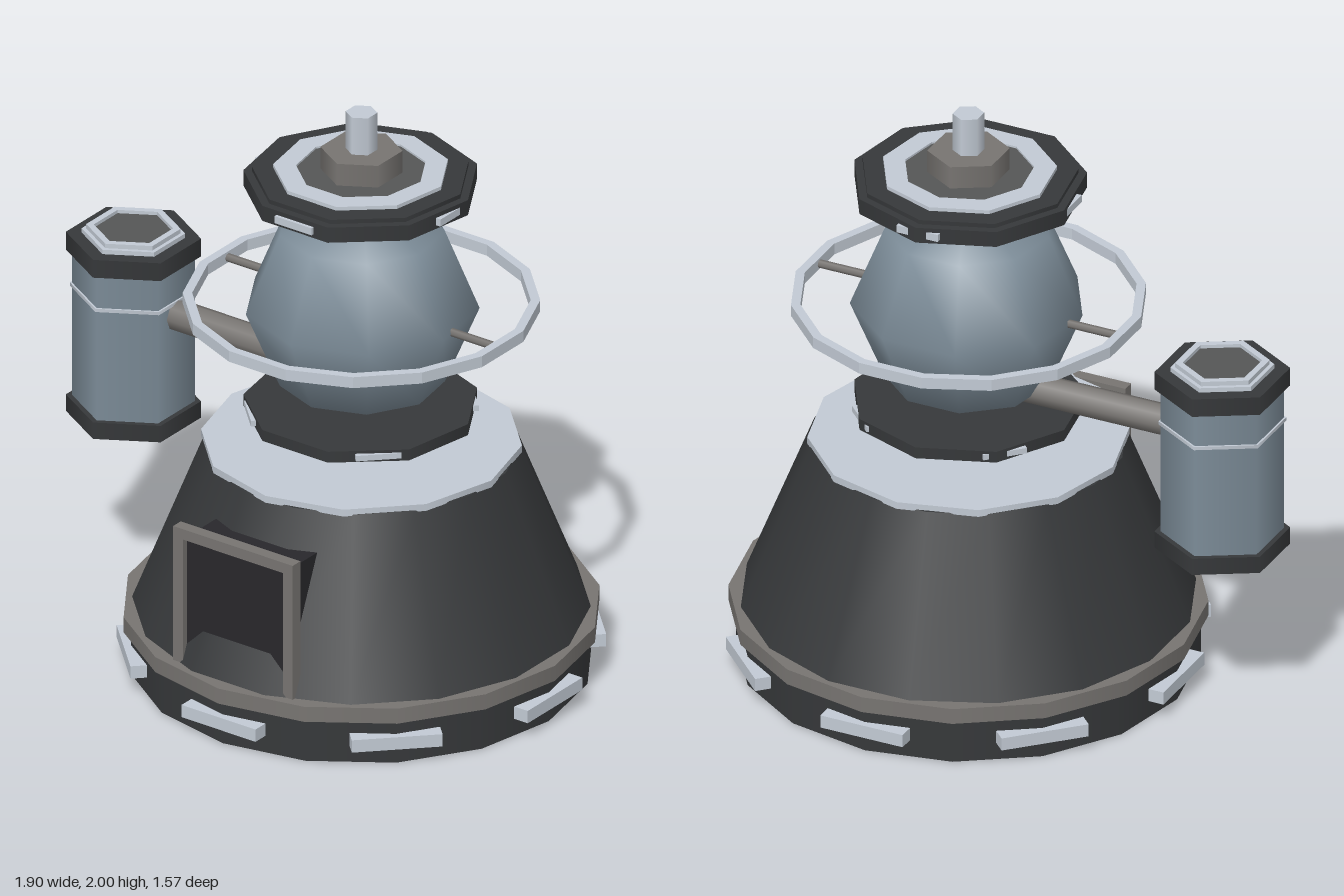
import * as THREE from 'three';

const mat = (color, side = THREE.FrontSide) => new THREE.MeshStandardMaterial({ color, side });
const DARK = mat(0x36383a), GREY = mat(0x777471), LIGHT = mat(0xc2cad4),
  STEEL = mat(0x7c8c98), MID = mat(0x555656), SHADOW = mat(0x28272b);

export function createModel() {
  const root = new THREE.Group();
  const tower = new THREE.Group();
  tower.name = 'tower';
  tower.position.x = 0.16;
  const pod = new THREE.Group();
  pod.name = 'sidePod';
  pod.position.x = -0.765;
  root.add(tower, pod);

  const add = (parent, name, geo, material) => {
    const m = new THREE.Mesh(geo, material);
    m.name = name;
    parent.add(m);
    return m;
  };
  // Upright prism between two heights; turn rotates its first corner away from +z
  const prism = (parent, name, y0, y1, r0, r1, sides, material, turn = 0) => {
    const m = add(parent, name, new THREE.CylinderGeometry(r1, r0, y1 - y0, sides), material);
    m.position.y = (y0 + y1) / 2;
    m.rotation.y = turn;
    return m;
  };
  // Flat ring with a rectangular section
  const ring = (parent, name, y0, y1, inner, outer, sides, material, turn = 0) => {
    const polygon = (Type, r) => new Type(Array.from({ length: sides }, (_, i) => {
      const a = (i / sides) * Math.PI * 2 - Math.PI / 2;
      return new THREE.Vector2(r * Math.cos(a), r * Math.sin(a));
    }));
    const shape = polygon(THREE.Shape, outer);
    shape.holes.push(polygon(THREE.Path, inner));
    const geo = new THREE.ExtrudeGeometry(shape, { depth: y1 - y0, bevelEnabled: false });
    geo.rotateX(-Math.PI / 2);
    const m = add(parent, name, geo, material);
    m.position.y = y0;
    m.rotation.y = turn;
    return m;
  };
  // Light panels set around the axis
  const panels = (name, count, start, outer, y, w, h, d) => {
    for (let i = 0; i < count; i++) {
      const a = start + (i / count) * Math.PI * 2, r = outer - d / 2;
      const m = add(tower, name, new THREE.BoxGeometry(w, h, d), LIGHT);
      m.position.set(Math.sin(a) * r, y, Math.cos(a) * r);
      m.rotation.y = a;
    }
  };
  const box = (name, x0, x1, y0, y1, z0, z1, material) =>
    add(tower, name, new THREE.BoxGeometry(x1 - x0, y1 - y0, z1 - z0), material)
      .position.set((x0 + x1) / 2, (y0 + y1) / 2, (z0 + z1) / 2);

  // Base, collar, sloped body and its top plate
  prism(tower, 'base', 0, 0.16, 0.76, 0.76, 16, DARK);
  panels('basePanel', 8, 0, 0.785, 0.083, 0.3, 0.045, 0.06);
  prism(tower, 'baseCollar', 0.155, 0.21, 0.785, 0.785, 16, GREY);
  prism(tower, 'slopedBody', 0.2, 0.79, 0.753, 0.52, 16, DARK, Math.PI / 16);
  prism(tower, 'bodyTopPlate', 0.785, 0.81, 0.527, 0.527, 12, LIGHT);

  // Doorway
  box('doorRecess', -0.205, 0.205, 0.2, 0.662, 0.45, 0.685, SHADOW);
  for (const s of [-1, 1]) {
    box('doorPost', s * 0.2225 - 0.02, s * 0.2225 + 0.02, 0.2, 0.70, 0.664, 0.706, GREY);
  }
  box('doorLintel', -0.2025, 0.2025, 0.662, 0.70, 0.664, 0.706, GREY);

  // Globe held between two nine-sided discs
  prism(tower, 'lowerNeck', 0.8, 0.92, 0.125, 0.125, 6, GREY);
  prism(tower, 'lowerDisc', 0.905, 0.945, 0.388, 0.388, 9, DARK, Math.PI);
  panels('lowerDiscPanel', 4, Math.PI / 4, 0.376, 0.925, 0.15, 0.02, 0.05);
  const globe = add(tower, 'globe', new THREE.SphereGeometry(0.388, 9, 4), STEEL);
  globe.position.y = 1.305;
  globe.rotation.y = Math.PI / 2;
  prism(tower, 'upperNeck', 1.64, 1.72, 0.125, 0.125, 6, GREY);
  prism(tower, 'upperDisc', 1.71, 1.765, 0.388, 0.388, 9, DARK, Math.PI);
  prism(tower, 'upperDiscStep', 1.765, 1.78, 0.36, 0.36, 9, DARK, Math.PI);
  panels('upperDiscPanel', 4, 0, 0.376, 1.737, 0.15, 0.026, 0.05);
  ring(tower, 'discTrim', 1.775, 1.793, 0.215, 0.29, 9, LIGHT, Math.PI);
  prism(tower, 'discCentre', 1.775, 1.786, 0.22, 0.22, 9, MID, Math.PI);
  prism(tower, 'topHub', 1.69, 1.865, 0.135, 0.135, 6, GREY);
  prism(tower, 'topRod', 1.865, 2, 0.052, 0.052, 6, LIGHT);

  // Orbit ring and its two spokes
  ring(tower, 'orbitRing', 1.285, 1.325, 0.553, 0.584, 16, LIGHT, Math.PI / 16);
  for (const s of [-1, 1]) {
    const spoke = add(tower, 'ringSpoke', new THREE.CylinderGeometry(0.014, 0.014, 0.22, 6), GREY);
    spoke.rotation.z = Math.PI / 2;
    spoke.position.set(s * 0.45, 1.305, 0);
  }

  // Six-sided pod on a pipe
  prism(pod, 'podBody', 0.65, 1.23, 0.202, 0.202, 6, STEEL);
  prism(pod, 'podBottomCap', 0.615, 0.675, 0.222, 0.222, 6, DARK);
  prism(pod, 'podTopCap', 1.205, 1.27, 0.222, 0.222, 6, DARK);
  prism(pod, 'podBand', 1.074, 1.086, 0.209, 0.209, 6, LIGHT);
  ring(pod, 'podLidBase', 1.265, 1.286, 0.13, 0.17, 6, LIGHT);
  ring(pod, 'podLidRim', 1.286, 1.302, 0.13, 0.155, 6, LIGHT);
  prism(pod, 'podLid', 1.265, 1.29, 0.134, 0.134, 6, MID);
  const pipe = add(root, 'podPipe', new THREE.CylinderGeometry(0.053, 0.053, 0.68, 8), GREY);
  pipe.rotation.z = Math.PI / 2;
  pipe.position.set(-0.31, 1.033, 0);

  return root;
}
